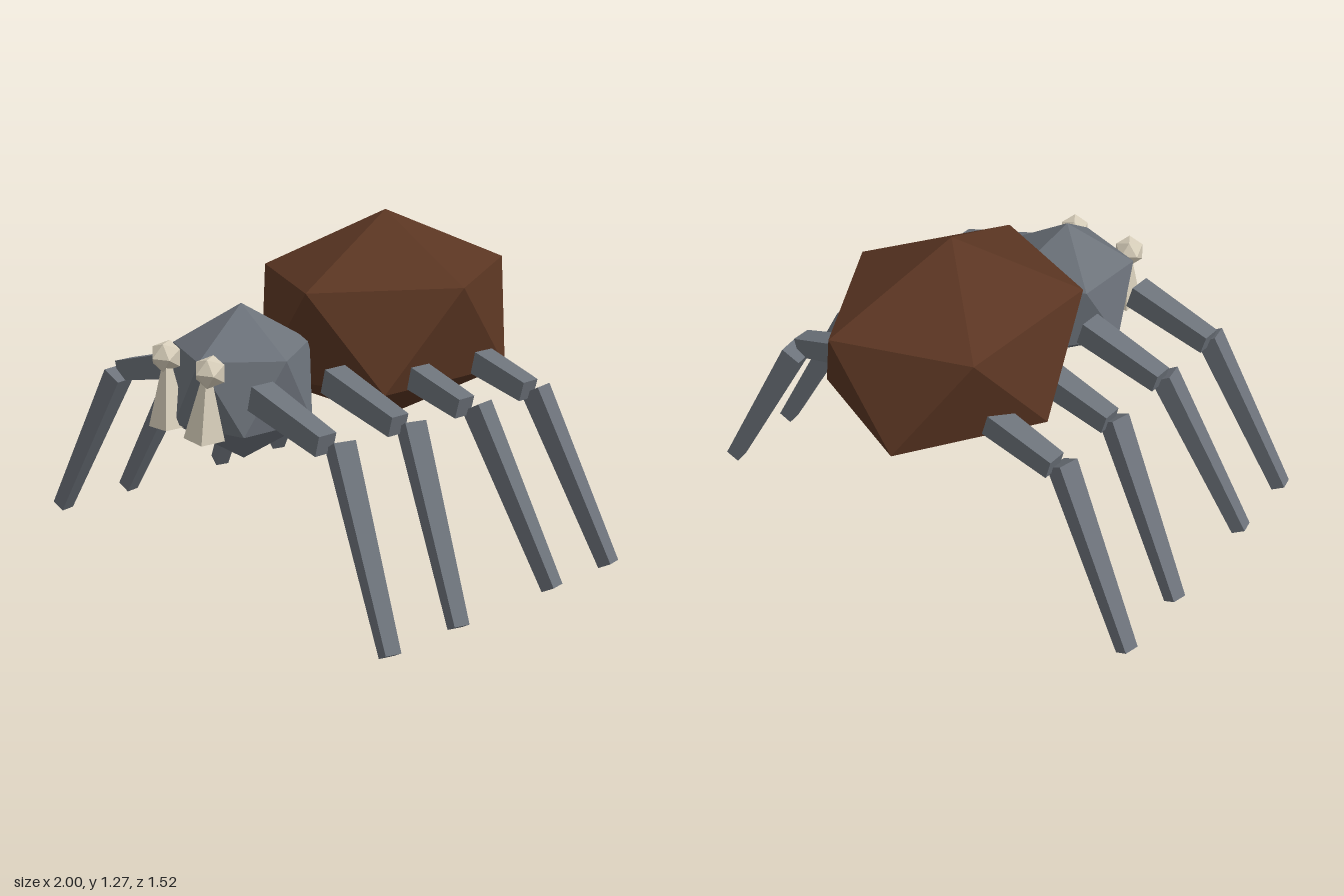
import * as THREE from 'three';

const mat = (name, color) => {
  const m = new THREE.MeshStandardMaterial({ color, flatShading: true });
  m.name = name;
  return m;
};

// Icosahedron with a vertex straight up, turned slightly and stretched
function ico(rx, ry, rz) {
  const g = new THREE.IcosahedronGeometry(1, 0);
  g.rotateZ(-Math.atan(2 / (1 + Math.sqrt(5))));
  g.rotateY(THREE.MathUtils.degToRad(-2));
  return g.scale(rx, ry, rz);
}

// Square bar from a to b, tapering from width wa to width wb
function bar(a, b, wa, wb) {
  const dir = b.clone().sub(a);
  const len = dir.length();
  dir.normalize();
  const g = new THREE.BoxGeometry(1, len, 1);
  const p = g.attributes.position;
  for (let i = 0; i < p.count; i++) {
    const w = p.getY(i) > 0 ? wb : wa;
    p.setX(i, p.getX(i) * w);
    p.setZ(i, p.getZ(i) * w);
  }
  // one side axis stays horizontal
  const side = new THREE.Vector3(-dir.z, 0, dir.x);
  if (side.lengthSq() < 0.02) side.set(0, 0, 1);
  side.addScaledVector(dir, -side.dot(dir)).normalize();
  const across = new THREE.Vector3().crossVectors(dir, side);
  g.applyMatrix4(new THREE.Matrix4().makeBasis(across, dir, side));
  const mid = a.clone().add(b).multiplyScalar(0.5);
  g.translate(mid.x, mid.y, mid.z);
  g.computeVertexNormals();
  return g;
}

export function createModel() {
  const model = new THREE.Group();
  model.name = 'spider';
  const brown = mat('brown', 0x5a3522);
  const grey = mat('grey', 0x6c727a);
  const cream = mat('cream', 0xd6cdb9);
  const v = (x, y, z) => new THREE.Vector3(x, y, z);

  const add = (parent, name, geometry, material, x = 0, y = 0, z = 0) => {
    const mesh = new THREE.Mesh(geometry, material);
    mesh.name = name;
    mesh.position.set(x, y, z);
    parent.add(mesh);
  };

  // Body
  add(model, 'abdomen', ico(0.498, 0.419, 0.598), brown, 0, 0.846, -0.25);
  add(model, 'head', ico(0.297, 0.297, 0.297), grey, -0.02, 0.707, 0.45);

  // Eyes and fangs
  for (const [side, eyeX, eyeZ, topX, bottomX] of [
    ['right', -0.165, 0.685, -0.149, -0.137],
    ['left', 0.108, 0.695, 0.087, 0.073],
  ]) {
    add(model, side + 'Eye', ico(0.062, 0.062, 0.062).rotateX(Math.PI / 2), cream, eyeX, 0.817, eyeZ);
    add(model, side + 'Fang', bar(v(bottomX, 0.56, 0.702), v(topX, 0.79, 0.695), 0.105, 0.025), cream);
  }

  // Legs, front to back: hip x, z, outer x, z, knee z, foot x, z
  const legs = {
    left: [
      [0.24, 0.578, 0.59, 0.58, 0.53, 0.97, 0.635],
      [0.25, 0.245, 0.6, 0.25, 0.195, 0.964, 0.305],
      [0.26, -0.075, 0.607, -0.077, -0.14, 0.957, -0.188],
      [0.27, -0.405, 0.617, -0.41, -0.46, 0.95, -0.515],
    ],
    right: [
      [-0.288, 0.555, -0.632, 0.548, 0.595, -0.956, 0.658],
      [-0.278, 0.225, -0.62, 0.218, 0.265, -0.963, 0.328],
      [-0.265, -0.105, -0.61, -0.11, -0.08, -0.968, -0.168],
      [-0.255, -0.435, -0.6, -0.443, -0.41, -0.972, -0.498],
    ],
  };
  for (const side in legs) {
    const s = side === 'left' ? 1 : -1;
    legs[side].forEach(([hx, hz, ox, oz, kz, fx, fz], i) => {
      const leg = new THREE.Group();
      leg.name = `${side}Leg${i + 1}`;
      model.add(leg);
      add(leg, 'upperLeg', bar(v(hx, 0.735, hz), v(ox, 0.643, oz), 0.096, 0.078), grey);
      add(leg, 'lowerLeg', bar(v(s * 0.608, 0.637, kz), v(fx, 0.015, fz), 0.082, 0.058), grey);
    });
  }
  return model;
}
